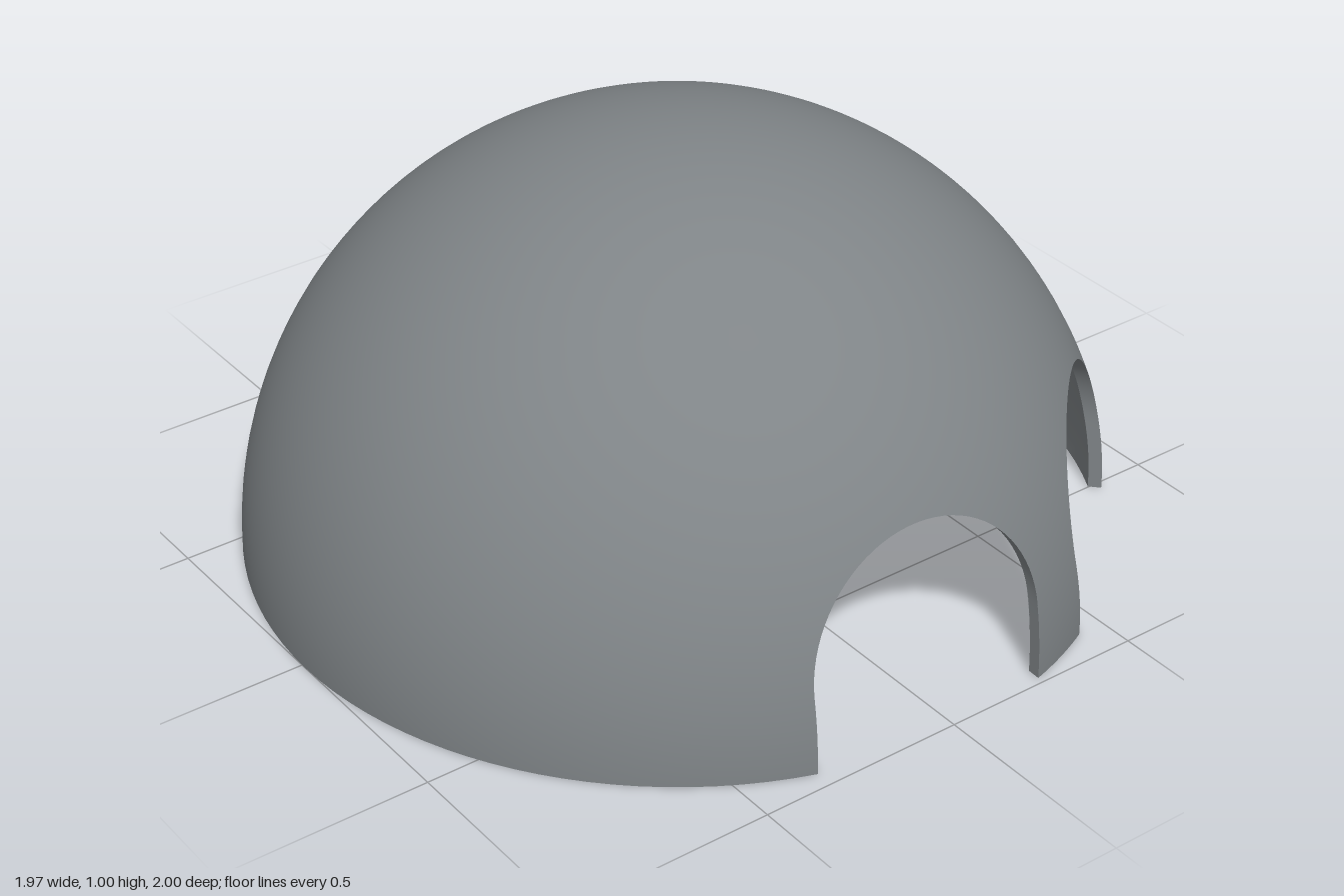
import * as THREE from 'three';
import { toCreasedNormals } from 'three/addons/utils/BufferGeometryUtils.js';

const OUTER = 1, INNER = 0.97;        // shell radii
const HALF = 0.294, SPRING = 0.181;   // doorway half width and height of the arch springing
const DOORS = [-42.6, 2.5, 159.2];    // doorway directions in degrees, from +x towards +z
const RING_EL = THREE.MathUtils.degToRad(36); // plain dome above this elevation
const rad = THREE.MathUtils.degToRad;

const onSphere = (r, az, el) => new THREE.Vector3(
  r * Math.cos(el) * Math.cos(az), r * Math.sin(el), r * Math.cos(el) * Math.sin(az));

// Lower edge of the shell: [azimuth, elevation, azimuth of the same column at the ring]
function outline(r) {
  const pts = [];
  const corner = Math.asin(HALF / r), wide = rad(20), narrow = rad(18.5);
  const doorPoint = (mid, s, y, ring) => {
    const el = Math.asin(y / r);
    pts.push([mid + Math.asin(s / (r * Math.cos(el))), el, mid + ring]);
  };
  DOORS.forEach((deg, k) => {
    const mid = rad(deg);
    const next = k < DOORS.length - 1 ? rad(DOORS[k + 1]) : rad(DOORS[0] + 360);
    // first jamb, arch, second jamb
    for (let i = 0; i < 6; i++) {
      const t = i / 6;
      doorPoint(mid, -HALF, SPRING * t, -THREE.MathUtils.lerp(wide, narrow, t));
    }
    for (let i = 0; i <= 40; i++) {
      const a = Math.PI * i / 40;
      doorPoint(mid, -HALF * Math.cos(a), SPRING + HALF * Math.sin(a), -narrow * Math.cos(a));
    }
    for (let i = 1; i <= 6; i++) {
      const t = 1 - i / 6;
      doorPoint(mid, HALF, SPRING * t, THREE.MathUtils.lerp(wide, narrow, t));
    }
    // ground edge up to the next doorway
    const steps = Math.ceil((next - mid) / rad(4));
    for (let i = 1; i < steps; i++) {
      const t = i / steps;
      pts.push([
        THREE.MathUtils.lerp(mid + corner, next - corner, t), 0,
        THREE.MathUtils.lerp(mid + wide, next - wide, t)]);
    }
  });
  pts.push([pts[0][0] + 2 * Math.PI, pts[0][1], pts[0][2] + 2 * Math.PI]);
  return pts;
}

// Dome skin: each column runs from the outline to the ring, then to the pole
function skin(r, outward) {
  const low = 14, high = 24, rows = low + high + 1;
  const position = [], normal = [], index = [];
  const pts = outline(r);
  pts.forEach(([az, el, ringAz], i) => {
    for (let j = 0; j < rows; j++) {
      const t = Math.min(j / low, 1);
      const e = j <= low
        ? THREE.MathUtils.lerp(el, RING_EL, t)
        : THREE.MathUtils.lerp(RING_EL, Math.PI / 2, (j - low) / high);
      const p = onSphere(r, THREE.MathUtils.lerp(az, ringAz, t), e);
      position.push(p.x, p.y, p.z);
      p.normalize().multiplyScalar(outward ? 1 : -1);
      normal.push(p.x, p.y, p.z);
      if (i === pts.length - 1 || j === rows - 1) continue;
      const a = i * rows + j, b = a + rows, c = b + 1, d = a + 1;
      index.push(...(outward ? [a, c, b, a, d, c] : [a, b, c, a, c, d]));
    }
  });
  const geo = new THREE.BufferGeometry();
  geo.setAttribute('position', new THREE.Float32BufferAttribute(position, 3));
  geo.setAttribute('normal', new THREE.Float32BufferAttribute(normal, 3));
  geo.setIndex(index);
  return geo;
}

// Cut face joining the outer and inner skins along the ground and the doorways
function rim() {
  const position = [], index = [];
  const inner = outline(INNER);
  outline(OUTER).forEach(([az, el], i) => {
    const o = onSphere(OUTER, az, el), n = onSphere(INNER, inner[i][0], inner[i][1]);
    position.push(o.x, o.y, o.z, n.x, n.y, n.z);
    if (i === inner.length - 1) return;
    const a = 2 * i;
    index.push(a, a + 2, a + 3, a, a + 3, a + 1);
  });
  const geo = new THREE.BufferGeometry();
  geo.setAttribute('position', new THREE.Float32BufferAttribute(position, 3));
  geo.setIndex(index);
  return toCreasedNormals(geo, 0.6);
}

export function createModel() {
  const grey = new THREE.MeshStandardMaterial({ color: 0x7f8487 });
  grey.name = 'slate grey';
  const dome = new THREE.Group();
  dome.name = 'dome';
  const add = (name, geo) => {
    const mesh = new THREE.Mesh(geo, grey);
    mesh.name = name;
    dome.add(mesh);
  };
  add('outerShell', skin(OUTER, true));
  add('innerShell', skin(INNER, false));
  add('doorwayAndGroundRim', rim());
  dome.position.x = 0.016; // the doorway on one side trims the width

  const model = new THREE.Group();
  model.name = 'domeShelter';
  model.add(dome);
  return model;
}
